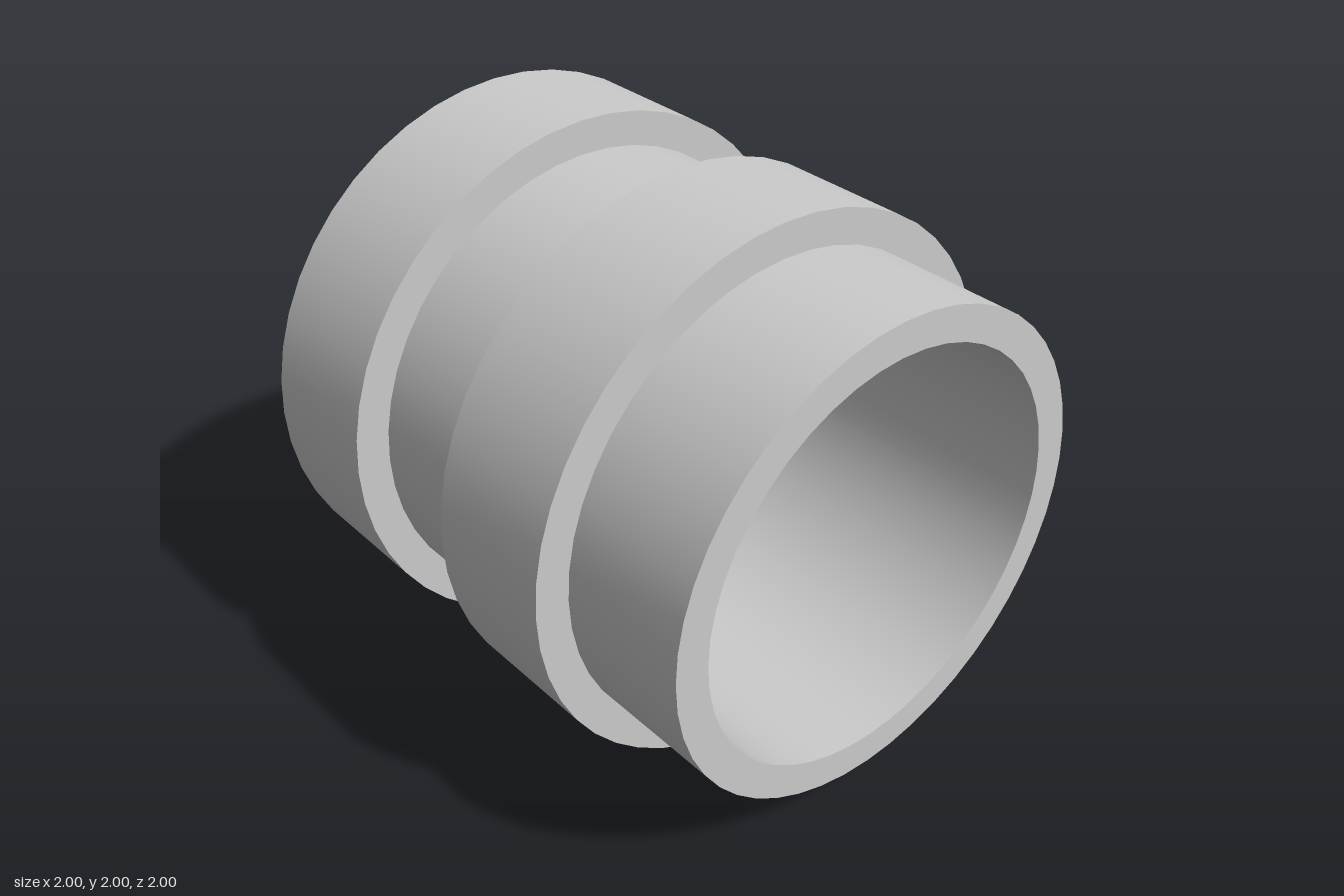
import * as THREE from 'three';
import { toCreasedNormals } from 'three/addons/utils/BufferGeometryUtils.js';

const BORE = 0.75, NECK = 0.875, COLLAR = 1;

export function createModel() {
  const group = new THREE.Group();
  group.name = 'steppedSleeve';

  // Closed wall section as [radius, z]: outer steps back to front, then the bore
  const section = [
    [BORE, -1], [COLLAR, -1], [COLLAR, -0.5], [NECK, -0.5], [NECK, 0],
    [COLLAR, 0], [COLLAR, 0.5], [NECK, 0.5], [NECK, 1], [BORE, 1], [BORE, -1],
  ].map(([r, z]) => new THREE.Vector2(r, z));

  // Turn the section, then lay its axis along z
  const lathe = new THREE.LatheGeometry(section, 48).rotateX(Math.PI / 2);
  const sleeve = new THREE.Mesh(
    toCreasedNormals(lathe, Math.PI / 6),
    new THREE.MeshStandardMaterial({ color: 0xcccccc })
  );
  sleeve.name = 'sleeve';
  sleeve.position.y = COLLAR;
  group.add(sleeve);

  return group;
}
